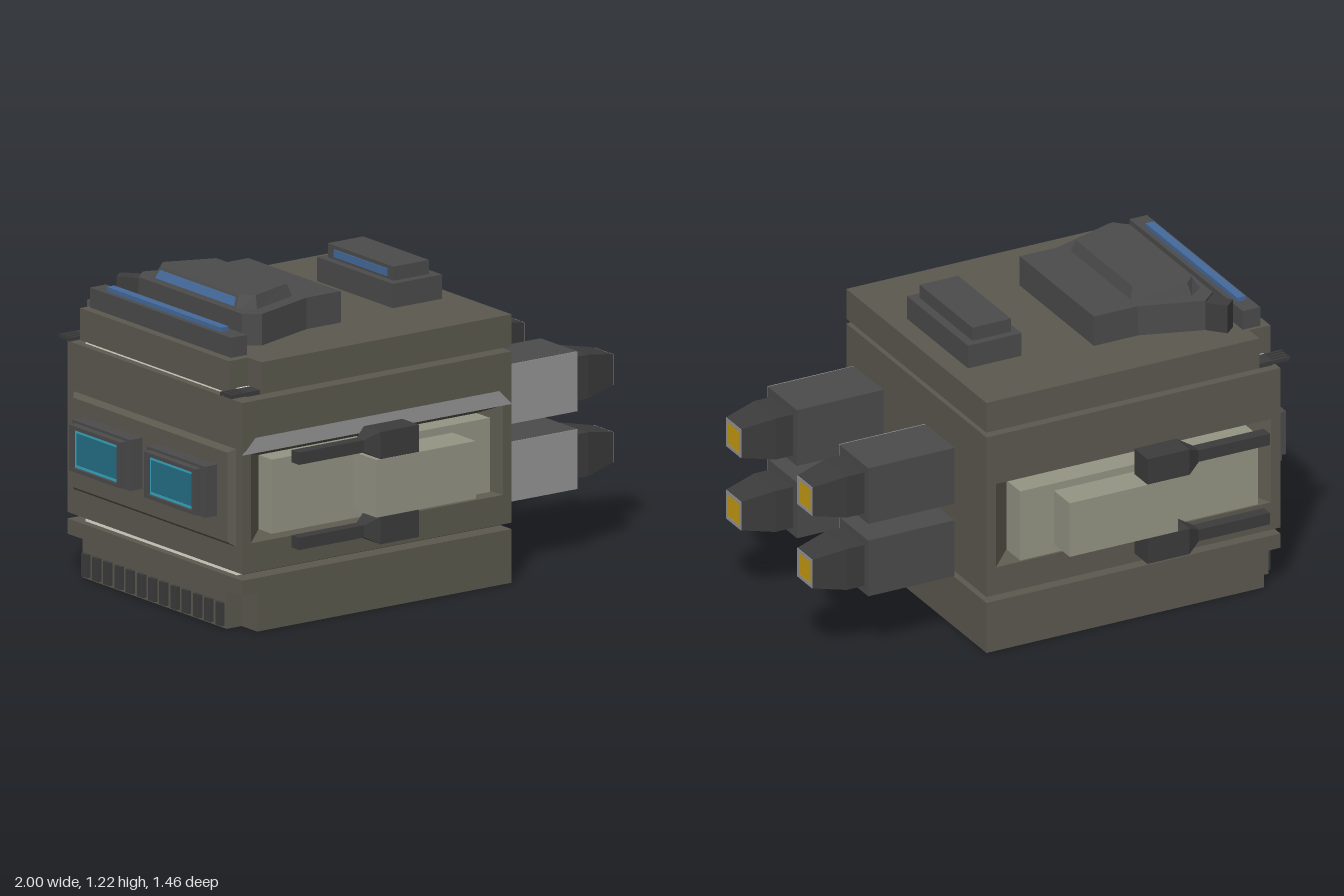
import * as THREE from 'three';

const mat = (c) => new THREE.MeshStandardMaterial({ color: c, flatShading: true });
const M = {
  hull: mat(0x5c5a4f), roof: mat(0x4c4c4c), dark: mat(0x3c3c3c), panel: mat(0x959585),
  grey: mat(0x969696), cream: mat(0xe2e2d2), amber: mat(0xc99d12), blue: mat(0x456a9c),
  glass: mat(0x256f88), glow: mat(0x38a9c4),
};

// Rectangular ring across an axis at t; a and b are the next two axes in cyclic order.
const AXES = { x: ['x', 'y', 'z'], y: ['y', 'z', 'x'], z: ['z', 'x', 'y'] };
function rect(axis, t, a0, a1, b0, b1) {
  const [n, a, b] = AXES[axis];
  return [[a0, b0], [a1, b0], [a1, b1], [a0, b1]].map(([u, v]) => {
    const p = new THREE.Vector3();
    p[n] = t; p[a] = u; p[b] = v;
    return p;
  });
}

// Capped skin through rings ordered along their axis.
function loft(rings) {
  const pos = [];
  const tri = (...ps) => ps.forEach((p) => pos.push(p.x, p.y, p.z));
  const n = rings[0].length;
  for (let k = 0; k + 1 < rings.length; k++) {
    for (let i = 0; i < n; i++) {
      const j = (i + 1) % n, A = rings[k], B = rings[k + 1];
      tri(A[i], A[j], B[j]);
      tri(A[i], B[j], B[i]);
    }
  }
  const cap = (r, flip) => {
    const c = r.reduce((s, p) => s.add(p), new THREE.Vector3()).divideScalar(n);
    for (let i = 0; i < n; i++) {
      const p = r[i], q = r[(i + 1) % n];
      flip ? tri(c, q, p) : tri(c, p, q);
    }
  };
  cap(rings[0], true);
  cap(rings[rings.length - 1], false);
  const g = new THREE.BufferGeometry();
  g.setAttribute('position', new THREE.Float32BufferAttribute(pos, 3));
  g.computeVertexNormals();
  return g;
}

export function createModel() {
  const model = new THREE.Group();
  const add = (name, geo, m, parent = model) => {
    const mesh = new THREE.Mesh(geo, m);
    mesh.name = name;
    parent.add(mesh);
    return mesh;
  };
  const box = (name, m, x0, x1, y0, y1, z0, z1, parent) => {
    const mesh = add(name, new THREE.BoxGeometry(x1 - x0, y1 - y0, z1 - z0), m, parent);
    mesh.position.set((x0 + x1) / 2, (y0 + y1) / 2, (z0 + z1) / 2);
    return mesh;
  };
  const group = (name) => {
    const g = new THREE.Group();
    g.name = name;
    model.add(g);
    return g;
  };
  // Horizontal outline of [x, z] corners at height y
  const outline = (pts, y) => pts.map(([x, z]) => new THREE.Vector3(x, y, z));

  // Hull: lower slab with a notched nose, middle with side recesses, roof slab
  const hull = group('hull');
  box('lowerSlab', M.hull, -0.82, 0.37, 0, 0.21, -0.565, 0.55, hull);
  box('lowerSlabNose', M.hull, -0.89, -0.82, 0.15, 0.21, -0.565, 0.55, hull);
  box('bumper', M.hull, -0.89, -0.82, 0, 0.15, -0.47, 0.45, hull);
  box('lightBand', M.cream, -0.86, 0.34, 0.19, 0.94, -0.49, 0.475, hull);
  add('middle', loft([
    rect('z', -0.5, -0.77, 0.25, 0.38, 0.67),
    rect('z', -0.565, -0.85, 0.33, 0.35, 0.70),
    rect('z', -0.565, -0.89, 0.37, 0.235, 0.905),
    rect('z', 0.55, -0.89, 0.37, 0.235, 0.905),
    rect('z', 0.55, -0.85, 0.33, 0.35, 0.70),
    rect('z', 0.49, -0.77, 0.25, 0.38, 0.67),
  ]), M.hull, hull);
  add('middleChamfer', loft([
    rect('y', 0.222, -0.53, 0.515, -0.855, 0.335),
    rect('y', 0.236, -0.565, 0.55, -0.89, 0.37),
  ]), M.hull, hull);
  box('roofSlab', M.hull, -0.80, 0.37, 0.925, 1.05, -0.565, 0.55, hull);
  box('roofSlabNose', M.hull, -0.89, -0.80, 0.925, 1.05, -0.485, 0.465, hull);
  add('recessLip', loft([
    rect('z', 0.54, -0.89, 0.37, 0.70, 0.765),
    rect('z', 0.552, -0.89, 0.37, 0.70, 0.703),
  ].map((r) => { r[2].x -= 0.06; r[3].x += 0.06; return r; })), M.grey, hull);
  add('lipFace', new THREE.ShapeGeometry(new THREE.Shape([[-0.89, 0.7], [0.37, 0.7], [0.31, 0.76],
    [-0.83, 0.76]].map((p) => new THREE.Vector2(...p)))), M.grey, hull).position.z = 0.553;

  // Bumper ribs
  for (let i = 0; i < 13; i++) {
    const z = -0.44 + i * 0.0715;
    box('bumperRib', M.dark, -0.905, -0.885, 0.01, 0.1, z - 0.02, z + 0.02, hull);
  }

  // Side weapon pods, each with an upper and a lower gun
  for (const s of [1, -1]) {
    const side = group(s > 0 ? 'leftPod' : 'rightPod');
    const zBox = (name, m, x0, x1, y0, y1, a, b) =>
      box(name, m, x0, x1, y0, y1, Math.min(s * a, s * b), Math.max(s * a, s * b), side);
    const out = s > 0 ? 0.725 : 0.735;
    const dx = s > 0 ? 0 : -0.04;
    zBox('sidePanel', M.panel, -0.77, 0.25, 0.38, 0.67, 0.47, s > 0 ? 0.575 : 0.61);
    zBox('pod', M.panel, s > 0 ? -0.39 : -0.36, s > 0 ? 0.075 : 0.105, 0.415, 0.64, 0.5, out);
    for (const y of [0.693, 0.36]) {
      const z = s * (out - 0.055);
      const ring = (x, r) => rect('x', x + dx, y - r, y + r, z - r, z + r);
      add('gun', loft([ring(-0.73, 0.024), ring(-0.425, 0.024), ring(-0.37, 0.053), ring(-0.19, 0.053)]),
        M.dark, side);
    }
  }

  // Nose plate and two framed windows
  add('nosePlate', loft([
    rect('x', -0.912, 0.35, 0.70, -0.5, 0.485),
    rect('x', -0.885, 0.33, 0.72, -0.53, 0.515),
  ]), M.hull);
  for (const zc of [-0.243, 0.235]) {
    const w = group('noseWindow');
    const ring = (x, hy, hz) => rect('x', x, 0.54 - hy, 0.54 + hy, zc - hz, zc + hz);
    add('windowFrame', loft([
      ring(-0.98, 0.075, 0.14), ring(-1, 0.075, 0.14), ring(-1, 0.09, 0.163),
      ring(-0.97, 0.09, 0.163), ring(-0.97, 0.1, 0.185), ring(-0.9, 0.1, 0.185),
    ]), M.roof, w);
    box('windowEdge', M.glow, -0.99, -0.975, 0.466, 0.614, zc - 0.139, zc + 0.139, w);
    box('windowGlass', M.glass, -0.993, -0.975, 0.478, 0.602, zc - 0.126, zc + 0.126, w);
  }

  // Pronged sensors in the roof corner notches
  for (const zc of [-0.525, 0.505]) {
    box('sensorBase', M.dark, -0.86, -0.79, 0.922, 0.94, zc - 0.035, zc + 0.035);
    for (let i = 0; i < 4; i++) {
      const z = zc - 0.03 + i * 0.02;
      box('sensorProng', M.dark, -0.935, -0.80, 0.925, 0.94, z - 0.005, z + 0.005);
    }
  }

  // Roof: light bar, cabin and hatch
  const roof = group('roofEquipment');
  box('lightBar', M.roof, -0.855, -0.78, 1.04, 1.128, -0.47, 0.43, roof);
  box('lightBarStrip', M.blue, -0.835, -0.80, 1.12, 1.145, -0.39, 0.34, roof);
  const cabin = [[-0.715, -0.35], [-0.715, 0.31], [-0.655, 0.355], [-0.38, 0.265], [-0.22, 0.265],
    [-0.22, -0.325], [-0.41, -0.325], [-0.655, -0.405]];
  add('cabin', loft([outline(cabin, 1.04), outline(cabin, 1.173)]), M.roof, roof);
  const top0 = [[-0.69, -0.3], [-0.69, 0.24], [-0.63, 0.29], [-0.41, 0.215], [-0.41, -0.265], [-0.63, -0.345]];
  const top1 = [[-0.665, -0.28], [-0.665, 0.22], [-0.62, 0.268], [-0.425, 0.2], [-0.425, -0.25], [-0.62, -0.325]];
  add('cabinTop', loft([outline(top0, 1.17), outline(top1, 1.222)]), M.roof, roof);
  add('cabinStrip', loft([
    rect('y', 1.18, -0.28, 0.22, -0.69, -0.66),
    rect('y', 1.21, -0.27, 0.21, -0.676, -0.646),
  ]), M.blue, roof);
  const spur = [[-0.76, -0.43], [-0.7, -0.35], [-0.65, -0.4], [-0.715, -0.47]];
  add('cabinSpur', loft([outline(spur, 1.04), outline(spur, 1.165)]), M.dark, roof);
  box('hatch', M.roof, 0.06, 0.29, 1.04, 1.145, -0.27, 0.215, roof);
  box('hatchTop', M.roof, 0.09, 0.255, 1.14, 1.2, -0.24, 0.18, roof);
  box('hatchStrip', M.blue, 0.086, 0.1, 1.155, 1.185, -0.2, 0.14, roof);

  // Four engines with hollow square nozzles
  for (const y of [0.687, 0.383]) {
    for (const z of [0.28, -0.287]) {
      const engine = group('engine');
      const ring = (x, r) => rect('x', x, y - r, y + r, z - r, z + r);
      box('engineBlock', M.roof, 0.42, 0.79, y - 0.117, y + 0.117, z - 0.117, z + 0.115, engine);
      box('enginePlate', M.grey, 0.42, 0.79, y - 0.117, y + 0.117, z + 0.114, z + 0.118, engine);
      add('nozzle', loft([ring(0.78, 0.086), ring(0.865, 0.086), ring(0.998, 0.06)]), M.dark, engine);
      add('nozzleRim', loft([ring(0.99, 0.06), ring(1, 0.06), ring(1, 0.046), ring(0.9985, 0.046)]), M.grey, engine);
      box('exhaust', M.amber, 0.98, 0.9992, y - 0.045, y + 0.045, z - 0.045, z + 0.045, engine);
    }
  }

  // Engine mount and cross bars
  box('engineMount', M.grey, 0.36, 0.555, 0.45, 0.63, -0.055, 0.04);
  for (const y of [0.578, 0.49]) box('crossBar', M.grey, 0.485, 0.515, y - 0.009, y + 0.009, -0.18, 0.17);

  return model;
}
